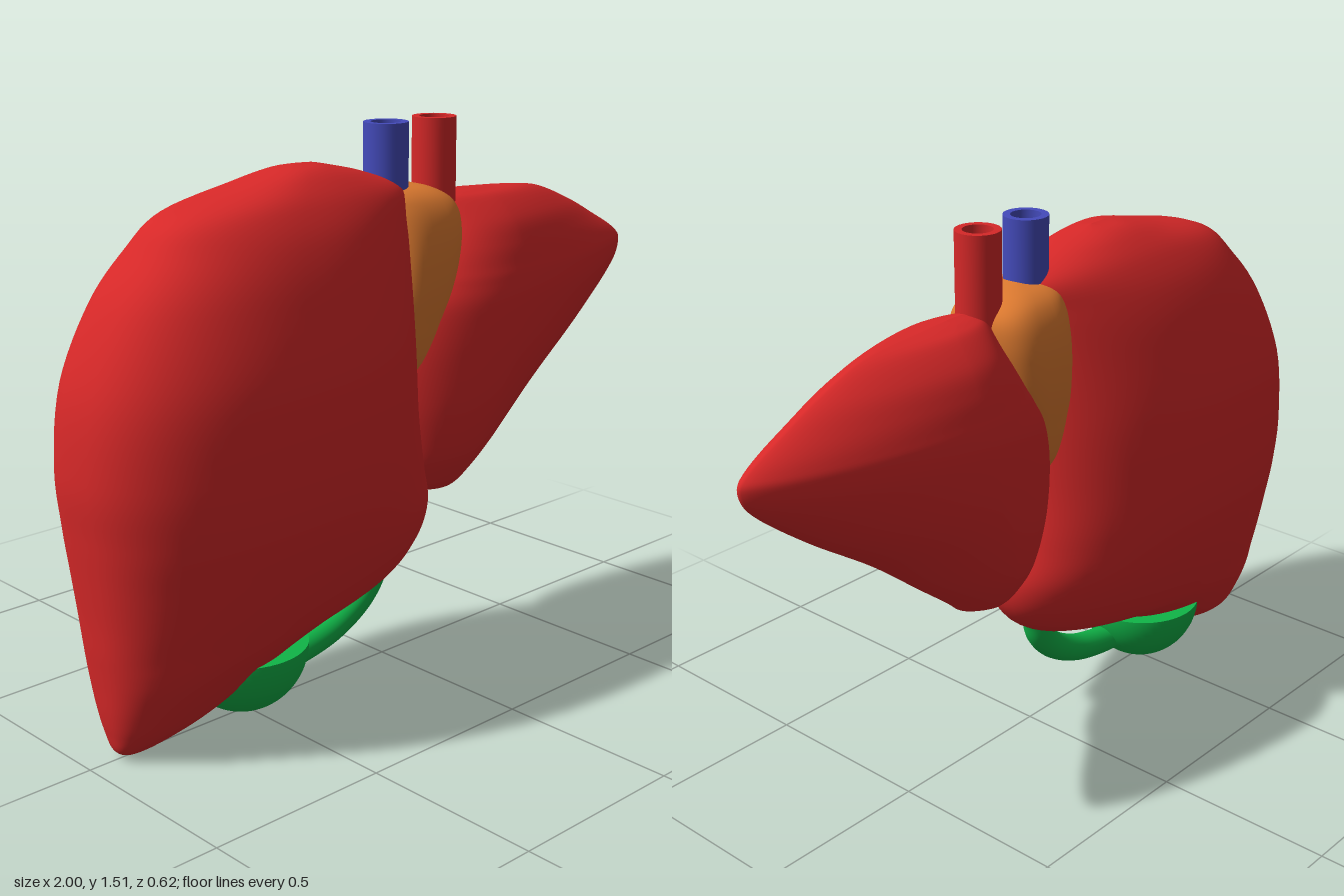
import * as THREE from 'three';

const material = (name, color) => {
  const m = new THREE.MeshStandardMaterial({ color });
  m.name = name;
  return m;
};

// Smooth closed body from horizontal sections.
// Each row: [y, xMin, xPeak (deepest x), xMax, half depth]; pMin and pMax set how blunt each side is.
function loft(rows, pMin, pMax, rings = 72, sides = 64) {
  const V = (a, b, c) => new THREE.Vector3(a, b, c);
  const edges = new THREE.CatmullRomCurve3(rows.map(r => V(r[1], r[0], r[3])), false, 'catmullrom', 0.5);
  const bulge = new THREE.CatmullRomCurve3(rows.map(r => V(r[2], r[0], r[4])), false, 'catmullrom', 0.5);
  const pos = [], index = [];
  for (let i = 0; i <= rings; i++) {
    const e = edges.getPoint(i / rings), b = bulge.getPoint(i / rings);
    for (let j = 0; j < sides; j++) {
      const a = (j / sides) * Math.PI * 2, c = Math.cos(a), s = Math.sin(a);
      const k = 2 / (c < 0 ? pMin : pMax);
      const reach = c < 0 ? e.x - b.x : e.z - b.x;
      pos.push(b.x + reach * Math.abs(c) ** k, e.y, Math.max(b.z, 0) * Math.sign(s) * Math.abs(s) ** k);
      if (i < rings) {
        const n = (j + 1) % sides, p = i * sides, q = p + sides;
        index.push(p + j, q + j, p + n, p + n, q + j, q + n);
      }
    }
  }
  const g = new THREE.BufferGeometry();
  g.setAttribute('position', new THREE.Float32BufferAttribute(pos, 3));
  g.setIndex(index);
  g.computeVertexNormals();
  return g;
}

export function createModel() {
  const group = new THREE.Group();
  const red = material('liver red', 0xd62828);
  const blue = material('vein blue', 0x444bbb);
  const green = material('bile green', 0x10b548);
  const orange = material('ligament orange', 0xdd7a30);
  const add = (name, geometry, mat) => {
    const mesh = new THREE.Mesh(geometry, mat);
    mesh.name = name;
    group.add(mesh);
    return mesh;
  };

  // Large lobe on the model's right
  add('rightLobe', loft([
    [0, -0.88, -0.87, -0.85, 0],
    [0.02, -0.92, -0.86, -0.77, 0.04],
    [0.07, -0.935, -0.8, -0.63, 0.09],
    [0.13, -0.945, -0.75, -0.5, 0.13],
    [0.2, -0.952, -0.7, -0.35, 0.17],
    [0.25, -0.957, -0.65, -0.2, 0.195],
    [0.3, -0.962, -0.6, 0, 0.215],
    [0.38, -0.968, -0.55, 0.09, 0.245],
    [0.48, -0.978, -0.5, 0.115, 0.275],
    [0.6, -0.99, -0.48, 0.08, 0.3],
    [0.75, -1, -0.47, 0.05, 0.31],
    [0.95, -0.975, -0.46, 0.04, 0.3],
    [1.14, -0.89, -0.43, 0.04, 0.255],
    [1.26, -0.79, -0.4, 0.045, 0.21],
    [1.34, -0.7, -0.36, 0.04, 0.16],
    [1.39, -0.5, -0.32, -0.08, 0.11],
    [1.42, -0.37, -0.3, -0.2, 0.06],
    [1.43, -0.3, -0.28, -0.25, 0],
  ], 2.4, 2.1, 102), red);

  // Tapering lobe on the model's left
  add('leftLobe', loft([
    [0.45, 0.19, 0.2, 0.21, 0],
    [0.47, 0.12, 0.2, 0.28, 0.06],
    [0.52, 0.08, 0.21, 0.34, 0.105],
    [0.6, 0.05, 0.22, 0.44, 0.15],
    [0.73, 0.015, 0.26, 0.6, 0.185],
    [0.87, 0, 0.32, 0.8, 0.202],
    [1, 0.02, 0.35, 0.96, 0.205],
    [1.07, 0.06, 0.36, 1, 0.197],
    [1.11, 0.09, 0.36, 0.97, 0.187],
    [1.165, 0.13, 0.36, 0.87, 0.17],
    [1.225, 0.17, 0.36, 0.75, 0.14],
    [1.28, 0.19, 0.35, 0.6, 0.085],
    [1.297, 0.21, 0.32, 0.42, 0.045],
    [1.305, 0.25, 0.28, 0.3, 0],
  ], 2.1, 1.45, 78), red);

  // Ligament between the lobes
  add('ligament', loft([
    [0.75, 0.02, 0.05, 0.08, 0],
    [0.85, -0.03, 0.05, 0.11, 0.1],
    [1, -0.05, 0.06, 0.15, 0.14],
    [1.12, -0.05, 0.07, 0.19, 0.155],
    [1.22, -0.05, 0.08, 0.21, 0.15],
    [1.29, -0.05, 0.08, 0.2, 0.125],
    [1.33, -0.04, 0.06, 0.14, 0.08],
    [1.35, 0.03, 0.04, 0.05, 0],
  ], 3, 3, 49, 48), orange);

  // Open vessels with a wall thickness
  const wall = [[0.04, 1.2], [0.06, 1.2], [0.06, 1.51], [0.06, 1.51], [0.04, 1.51], [0.04, 1.51], [0.04, 1.2]]
    .map(([r, y]) => new THREE.Vector2(r, y));
  for (const [name, x, mat] of [['vein', 0.01, blue], ['artery', 0.19, red]]) {
    const parts = new THREE.Group();
    parts.name = name;
    parts.position.set(x, 0, 0.005);
    [[1, 3], [3, 5], [5, 7]].forEach(([a, b], i) => {
      const m = new THREE.Mesh(new THREE.LatheGeometry(wall.slice(a, b), 40), mat);
      m.name = name + ['Outside', 'Rim', 'Inside'][i];
      parts.add(m);
    });
    group.add(parts);
  }

  // Gallbladder: lower half of a sphere with a flat lid
  const bladder = add('gallbladder',
    new THREE.SphereGeometry(0.178, 48, 24, 0, Math.PI * 2, Math.PI / 2, Math.PI / 2), green);
  bladder.position.set(-0.512, 0.195, 0);
  bladder.scale.y = 1.04;
  const lid = add('gallbladderLid', new THREE.CircleGeometry(0.178, 48), green);
  lid.rotation.x = -Math.PI / 2;
  lid.position.copy(bladder.position);

  // Bile duct curving up into the large lobe
  const path = new THREE.CatmullRomCurve3([
    [-0.42, 0.105], [-0.32, 0.113], [-0.2, 0.143], [-0.1, 0.2], [-0.05, 0.26], [-0.035, 0.31],
  ].map(([x, y]) => new THREE.Vector3(x, y, 0.008)));
  add('bileDuct', new THREE.TubeGeometry(path, 48, 0.04, 24), green);

  return group;
}
